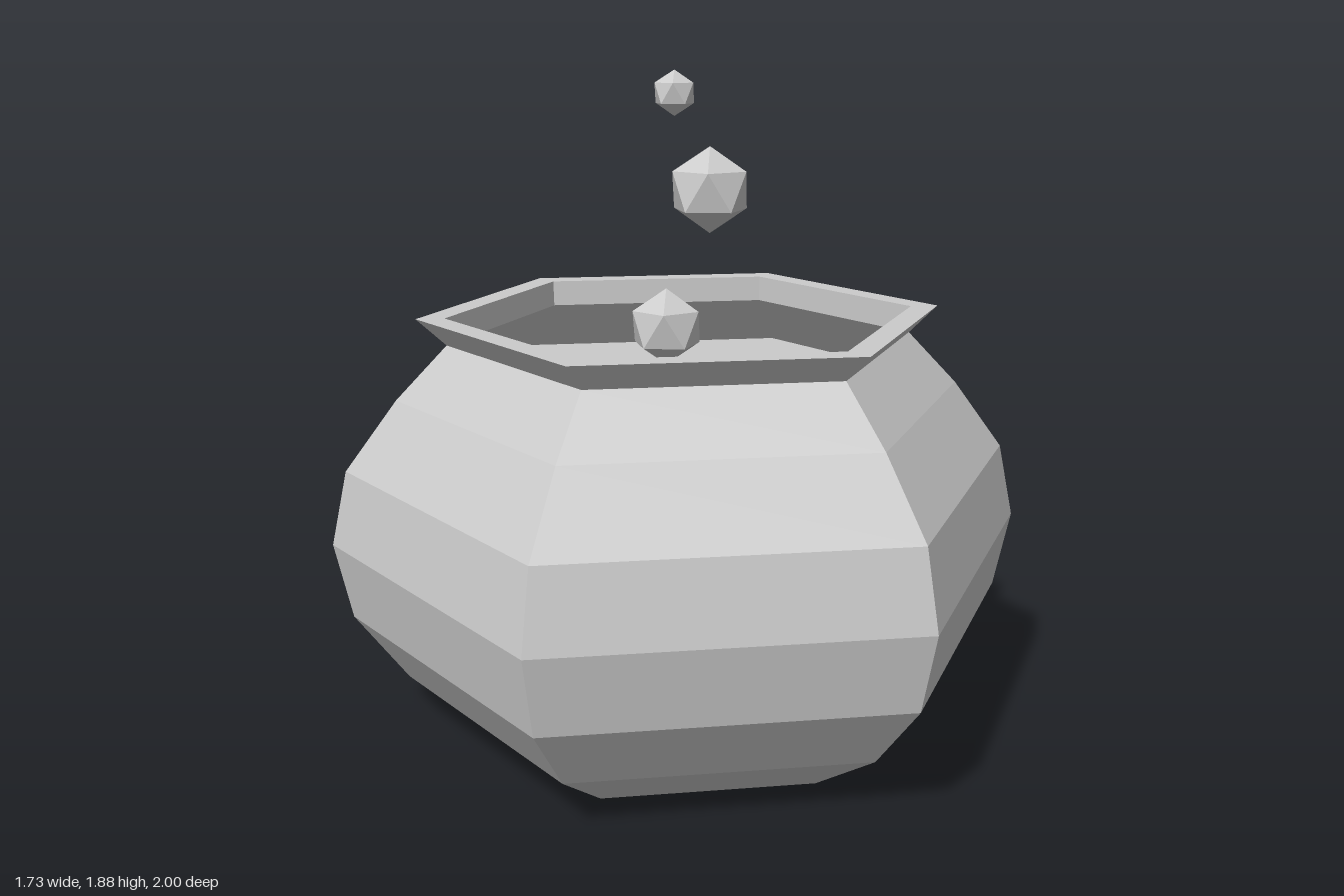
import * as THREE from 'three';

export function createModel() {
  const model = new THREE.Group();
  const material = new THREE.MeshStandardMaterial({ color: 0xcccccc, flatShading: true });

  const add = (name, geometry) => {
    const mesh = new THREE.Mesh(geometry, material);
    mesh.name = name;
    model.add(mesh);
    return mesh;
  };

  // Six-sided ring shapes from [radius, height] profiles, corners on the z axis
  const hexLathe = (profile) =>
    new THREE.LatheGeometry(profile.map(([r, y]) => new THREE.Vector2(r, y)), 6);

  // Pot body with closed base
  add('potBody', hexLathe([
    [0, 0], [0.585, 0], [0.805, 0.155], [0.953, 0.35], [1, 0.57],
    [0.953, 0.785], [0.805, 0.985], [0.66, 1.137],
  ]));

  // Flared rim, flat lip and the wall inside the neck down to the liquid
  add('potRim', hexLathe([
    [0.66, 1.137], [0.742, 1.213], [0.663, 1.213], [0.66, 1.137], [0.8, 0.985],
  ]));

  // Liquid filling the pot
  add('liquid', hexLathe([[0.8, 0.985], [0, 0.985]]));

  // Rising bubbles: [radius, height, z], each standing on a corner
  const bubbles = [[0.106, 1.194, 0.12], [0.125, 1.535, -0.21], [0.061, 1.82, 0.06]];
  const golden = (1 + Math.sqrt(5)) / 2;
  bubbles.forEach(([r, y, z], i) => {
    const geometry = new THREE.IcosahedronGeometry(r, 0).rotateZ(-Math.atan(1 / golden));
    add(`bubble${i + 1}`, geometry).position.set(0, y, z);
  });

  return model;
}
